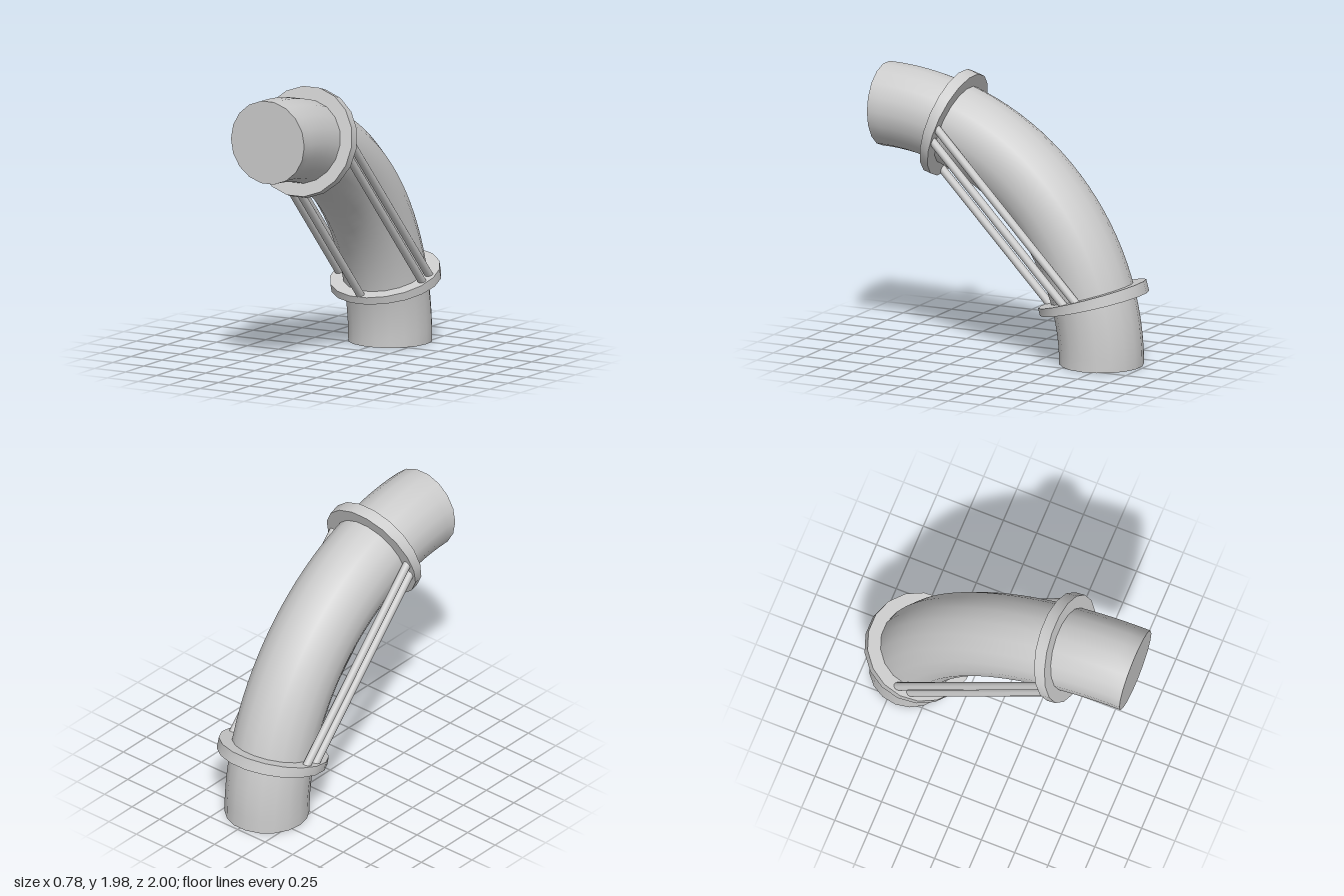
import * as THREE from 'three';
import { toCreasedNormals } from 'three/addons/utils/BufferGeometryUtils.js';

const BEND = 1.683;   // radius of the elbow's centre line, pivoting on y = 0, z = 1
const SIDES = 18;
const material = new THREE.MeshStandardMaterial({ color: 0xcccccc });
const rad = THREE.MathUtils.degToRad;

// Point in the cross-section at a bend angle: x sideways, inward towards the pivot
function onBend(x, inward, degrees) {
  const a = rad(degrees), r = BEND - inward;
  return new THREE.Vector3(x, Math.sin(a) * r, 1 - Math.cos(a) * r);
}

// Capped cylinder bent around the pivot between two angles
function bentCylinder(name, radius, from, to, segments) {
  const geo = new THREE.CylinderGeometry(radius, radius, 1, SIDES, segments, false, Math.PI / 2);
  const p = geo.attributes.position;
  for (let i = 0; i < p.count; i++) {
    const v = onBend(p.getX(i), p.getZ(i), from + (to - from) * (p.getY(i) + 0.5));
    p.setXYZ(i, v.x, v.y, v.z);
  }
  const mesh = new THREE.Mesh(toCreasedNormals(geo, rad(40)), material);
  mesh.name = name;
  return mesh;
}

// Straight tie rod between two points
function rod(name, a, b) {
  const mesh = new THREE.Mesh(new THREE.CylinderGeometry(0.029, 0.029, a.distanceTo(b), 12), material);
  mesh.position.copy(a).add(b).multiplyScalar(0.5);
  mesh.quaternion.setFromUnitVectors(new THREE.Vector3(0, 1, 0), b.clone().sub(a).normalize());
  mesh.name = name;
  return mesh;
}

export function createModel() {
  const group = new THREE.Group();
  group.name = 'pipeElbow';

  // Quarter-turn pipe and its two collars
  group.add(bentCylinder('pipe', 0.296, 0, 90, 30));
  group.add(bentCylinder('lowerFlange', 0.39, 14.65, 17, 1));
  group.add(bentCylinder('upperFlange', 0.39, 70.65, 73.1, 1));

  // Tie rods: a pair on each side and a single one inside the bend
  const rods = [['innerRod', 0, 0.342]];
  for (const [side, x] of [['left', 0.334], ['right', -0.334]]) {
    rods.push([side + 'UpperRod', x, -0.05], [side + 'LowerRod', x, 0.05]);
  }
  for (const [name, x, inward] of rods) {
    group.add(rod(name, onBend(x, inward, 16.2), onBend(x, inward, 71.4)));
  }
  return group;
}
